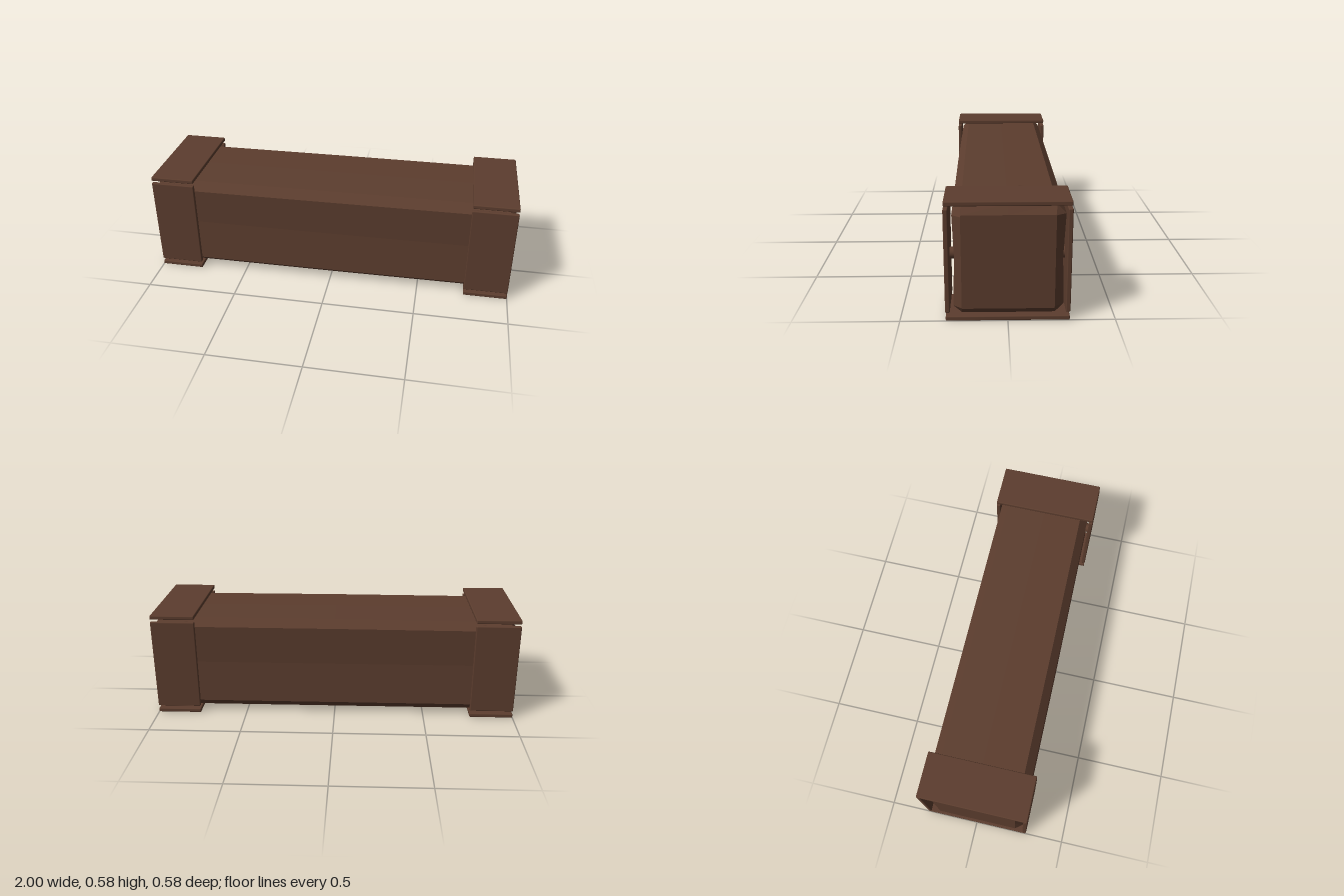
import * as THREE from 'three';
import { RoundedBoxGeometry } from 'three/addons/geometries/RoundedBoxGeometry.js';

const wood = new THREE.MeshStandardMaterial({ color: 0x5c3d2e });
wood.name = 'dark brown wood';

function addMesh(parent, name, geometry, x, y, z) {
  const mesh = new THREE.Mesh(geometry, wood);
  mesh.name = name;
  mesh.position.set(x, y, z);
  parent.add(mesh);
  return mesh;
}

// Slightly uneven chamfered section [z, y]; front z and top y vary along the beam
function section(front, top) {
  return [
    [front, top - 0.05], [front - 0.008, 0.3], [front, 0.06],
    [front - 0.04, 0.024], [0, 0.023], [-0.22, 0.024],
    [-0.26, 0.066], [-0.253, 0.3], [-0.263, top - 0.044],
    [-0.222, top - 0.002], [0, top + 0.002], [front - 0.042, top - 0.003],
  ];
}

// Pull a section in to the flat end face
function inset(ring) {
  const pull = (v, lo, hi) => {
    const c = Math.min(hi, Math.max(lo, v));
    return c + (v - c) * 0.05;
  };
  const front = ring[0][0] - 0.042;
  const top = ring[0][1] + 0.006;
  return ring.map(([z, y]) => [pull(z, -0.215, front), pull(y, 0.058, top)]);
}

// Beam skinned through cross-sections, with flat facets
function beamGeometry() {
  const left = section(0.264, 0.55);
  const mid = section(0.261, 0.554);
  const right = section(0.253, 0.555);
  const stations = [
    [-0.99, inset(left)], [-0.96, left], [0, mid], [0.96, right], [0.99, inset(right)],
  ];
  const rings = stations.map(([x, ring]) => ring.map(([z, y]) => [x, y, z]));
  const n = left.length;
  const out = [];
  const tri = (a, b, c) => out.push(...a, ...b, ...c);
  for (let s = 0; s < rings.length - 1; s++) {
    for (let i = 0; i < n; i++) {
      const j = (i + 1) % n;
      const a = rings[s], b = rings[s + 1];
      tri(a[i], a[j], b[j]);
      tri(a[i], b[j], b[i]);
    }
  }
  const first = rings[0], last = rings[rings.length - 1];
  const cl = [-0.99, 0.285, 0], cr = [0.99, 0.285, 0];
  for (let i = 0; i < n; i++) {
    const j = (i + 1) % n;
    tri(cr, last[i], last[j]);
    tri(cl, first[j], first[i]);
  }
  const g = new THREE.BufferGeometry();
  g.setAttribute('position', new THREE.Float32BufferAttribute(out, 3));
  g.computeVertexNormals();
  return g;
}

export function createModel() {
  const model = new THREE.Group();
  model.name = 'woodenBeam';
  addMesh(model, 'beam', beamGeometry(), 0, 0, 0);

  // Four cladding plates and two pegs around each end
  const flatPlate = new RoundedBoxGeometry(0.24, 0.022, 0.576, 2, 0.005);
  const sidePlate = new RoundedBoxGeometry(0.24, 0.504, 0.022, 2, 0.005);
  const peg = new THREE.CylinderGeometry(0.027, 0.027, 0.03, 16);
  peg.rotateX(Math.PI / 2);
  for (const side of [-1, 1]) {
    const collar = new THREE.Group();
    collar.name = side > 0 ? 'leftCollar' : 'rightCollar';
    collar.position.x = side * 0.88;
    addMesh(collar, 'topPlate', flatPlate, 0, 0.569, 0);
    addMesh(collar, 'bottomPlate', flatPlate, 0, 0.011, 0);
    for (const face of [-1, 1]) {
      const where = face > 0 ? 'front' : 'back';
      addMesh(collar, where + 'Plate', sidePlate, 0, 0.292, face * 0.279);
      addMesh(collar, where + 'Peg', peg, 0, 0.292, face * 0.256);
    }
    model.add(collar);
  }
  return model;
}
